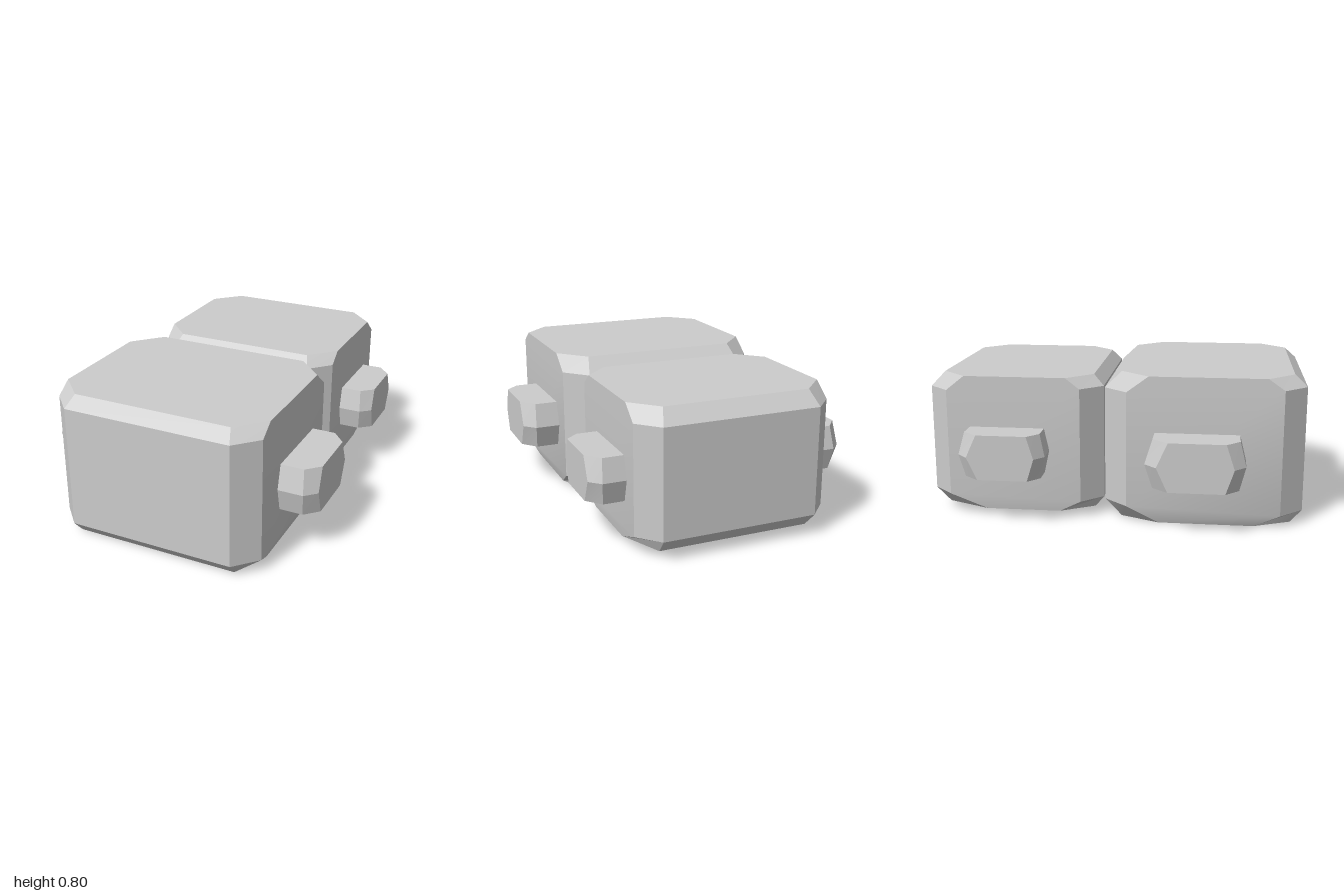
import * as THREE from 'three';
import { toCreasedNormals } from 'three/addons/utils/BufferGeometryUtils.js';

const grey = new THREE.MeshStandardMaterial({ color: 0xcccccc });

// Rectangle with cut corners, symmetric in x; front and back may differ in height.
// z lists the front edge, front corner, back corner and back edge.
function octagon(yFront, yBack, xSide, xEnd, [zF, zFc, zBc, zB]) {
  return [
    [-xEnd, yFront, zF], [xEnd, yFront, zF], [xSide, yFront, zFc], [xSide, yBack, zBc],
    [xEnd, yBack, zB], [-xEnd, yBack, zB], [-xSide, yBack, zBc], [-xSide, yFront, zFc],
  ];
}

// Closed solid through stacked octagons, listed from bottom to top
function loft(name, rings) {
  const n = 8, pos = [];
  const tri = (a, b, c) => pos.push(...a, ...b, ...c);
  for (let r = 0; r < rings.length - 1; r++) {
    const lo = rings[r], hi = rings[r + 1];
    for (let i = 0; i < n; i++) {
      const j = (i + 1) % n;
      tri(lo[i], lo[j], hi[j]);
      tri(lo[i], hi[j], hi[i]);
    }
  }
  const bottom = rings[0], top = rings[rings.length - 1];
  for (let i = 1; i < n - 1; i++) {
    tri(top[0], top[i], top[i + 1]);
    tri(bottom[0], bottom[i + 1], bottom[i]);
  }
  const geo = new THREE.BufferGeometry();
  geo.setAttribute('position', new THREE.Float32BufferAttribute(pos, 3));
  const mesh = new THREE.Mesh(toCreasedNormals(geo, 0.42), grey);
  mesh.name = name;
  return mesh;
}

// Bar running through a block, its chamfered ends showing as lugs on both sides
function lugs(name, [y0, yMid, y1], tip, shoulder, zEdge, zMid) {
  const edge = y => octagon(y, y, tip, shoulder - 0.01, zEdge);
  return loft(name, [edge(y0), octagon(yMid, yMid, tip, shoulder, zMid), edge(y1)]);
}

export function createModel() {
  const model = new THREE.Group();
  model.name = 'chamferedBlocks';

  // Larger front block, drawn in slightly at the foot
  const frontWall = [1, 0.88, 0.075, -0.05];
  model.add(loft('frontBlock', [
    octagon(0, 0, 0.54, 0.45, [0.94, 0.745, 0.245, 0.04]),
    octagon(0.07, 0.095, 0.57, 0.455, frontWall),
    octagon(0.735, 0.71, 0.57, 0.455, frontWall),
    octagon(0.795, 0.795, 0.57, 0.43, [0.935, 0.795, 0.19, 0.038]),
  ]));
  model.add(lugs('frontLugs', [0.243, 0.37, 0.5], 0.765, 0.705,
    [0.662, 0.593, 0.303, 0.222], [0.694, 0.636, 0.245, 0.182]));

  // Smaller rear block, raised a little
  const rearWall = [-0.06, -0.175, -0.888, -1];
  model.add(loft('rearBlock', [
    octagon(0.035, 0.035, 0.515, 0.41, [-0.11, -0.29, -0.69, -0.925]),
    octagon(0.095, 0.115, 0.527, 0.42, rearWall),
    octagon(0.71, 0.69, 0.527, 0.42, rearWall),
    octagon(0.768, 0.768, 0.527, 0.393, [-0.115, -0.25, -0.79, -0.928]),
  ]));
  model.add(lugs('rearLugs', [0.256, 0.375, 0.495], 0.707, 0.65,
    [-0.366, -0.425, -0.687, -0.765], [-0.34, -0.388, -0.742, -0.798]));

  return model;
}
